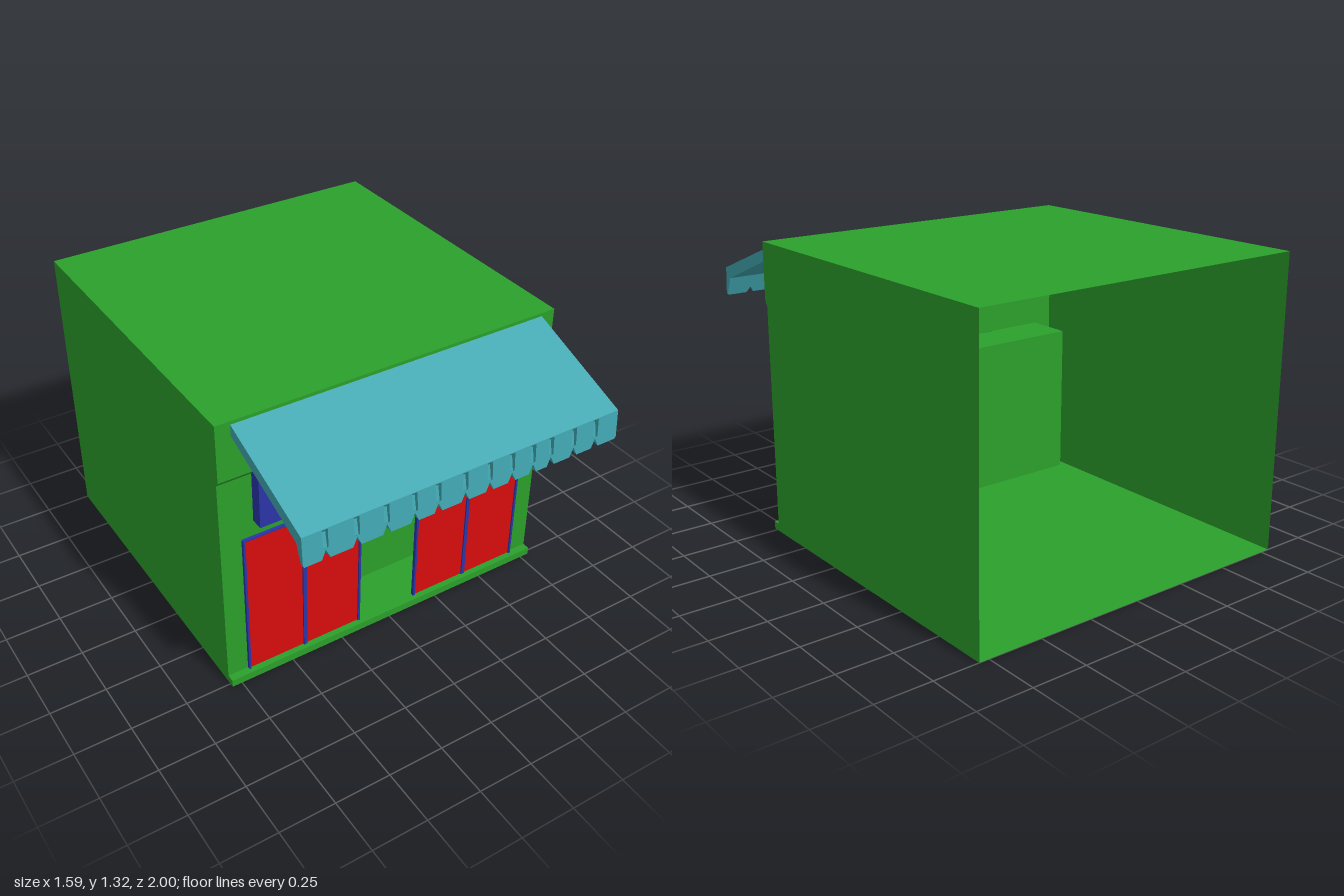
import * as THREE from 'three';

const material = (color) => new THREE.MeshStandardMaterial({ color, side: THREE.DoubleSide, flatShading: true });

export function createModel() {
  const root = new THREE.Group();
  const green = material(0x2ba02b);
  const red = material(0xd80d0d);
  const blue = material(0x2a35a8);
  const teal = material(0x41a8b2);

  const add = (name, geometry, mat, parent = root) => {
    const mesh = new THREE.Mesh(geometry, mat);
    mesh.name = name;
    parent.add(mesh);
    return mesh;
  };
  // Box given by its limits on each axis
  const box = (name, [x0, x1], [y0, y1], [z0, z1], mat, parent) => {
    const mesh = add(name, new THREE.BoxGeometry(x1 - x0, y1 - y0, z1 - z0), mat, parent);
    mesh.position.set((x0 + x1) / 2, (y0 + y1) / 2, (z0 + z1) / 2);
    return mesh;
  };
  const polygon = (points) => new THREE.Shape(points.map(([x, y]) => new THREE.Vector2(x, y)));
  const rectangle = (x0, x1, y0, y1) => polygon([[x0, y0], [x1, y0], [x1, y1], [x0, y1]]);
  // Sheet spanning the width between two points (z, y)
  const sheet = (name, halfWidth, [z0, y0], [z1, y1]) => {
    const geometry = new THREE.PlaneGeometry(2 * halfWidth, 1);
    const p = geometry.attributes.position;
    for (let i = 0; i < p.count; i++) {
      const t = p.getY(i) + 0.5;
      p.setXYZ(i, p.getX(i), y0 + (y1 - y0) * t, z0 + (z1 - z0) * t);
    }
    geometry.computeVertexNormals();
    return add(name, geometry, green);
  };

  // Shell, open at the back, with a slightly stepped front
  const W = 0.795, H = 1.32, BACK = -1, LOW = 0.485, TOP = 0.5;
  const sideShape = polygon([[BACK, 0], [LOW, 0], [LOW, 1.04], [TOP, 1.06], [TOP, H], [BACK, H]]);
  for (const s of [-1, 1]) {
    const wall = add(s > 0 ? 'leftWall' : 'rightWall',
      new THREE.ShapeGeometry(sideShape).rotateY(-Math.PI / 2), green);
    wall.position.x = s * W;
  }
  sheet('roof', W, [TOP, H], [BACK, H]);
  sheet('floor', W, [LOW, 0], [BACK, 0]);
  sheet('upperFront', W, [TOP, 1.06], [TOP, H]);
  sheet('frontStep', W, [LOW, 1.04], [TOP, 1.06]);

  // Front wall with the shopfront opening
  const R = 0.7, SILL = 0.035, HEAD = 0.737, RECESS = 0.27;
  const frontShape = rectangle(-W, W, 0, 1.04);
  frontShape.holes.push(rectangle(-R, R, SILL, HEAD));
  add('frontWall', new THREE.ShapeGeometry(frontShape), green).position.z = LOW;

  // Recess behind the windows and doorway
  sheet('recessFloor', R, [LOW, SILL], [RECESS, SILL]);
  sheet('recessBack', R, [RECESS, SILL], [RECESS, HEAD]);
  sheet('recessCeiling', R, [RECESS, HEAD], [LOW, HEAD]);
  for (const s of [-1, 1]) {
    const cheek = add('recessSide', new THREE.PlaneGeometry(LOW - RECESS, HEAD - SILL).rotateY(Math.PI / 2), green);
    cheek.position.set(s * R, (SILL + HEAD) / 2, (LOW + RECESS) / 2);
  }
  box('plinth', [-W, W], [0, SILL], [LOW, 0.52], green);

  // Two windows of two panes, either side of the doorway
  for (const s of [-1, 1]) {
    const windowGroup = new THREE.Group();
    windowGroup.name = s > 0 ? 'leftWindow' : 'rightWindow';
    root.add(windowGroup);
    for (const x of [0.284, 0.561]) {
      const c = s * x;
      box('pane', [c - 0.131, c + 0.131], [SILL, 0.73], [0.484, 0.492], red, windowGroup);
      box('topRail', [c - 0.138, c + 0.138], [0.729, HEAD], [0.482, 0.499], blue, windowGroup);
    }
    for (const [x, w] of [[0.149, 0.005], [0.4225, 0.0085], [0.696, 0.005]])
      box('post', [s * x - w, s * x + w], [SILL, HEAD], [0.482, 0.499], blue, windowGroup);
  }

  box('signBoard', [-0.645, 0.645], [0.81, 1.08], [LOW, 0.54], blue);

  // Awning: sloping canopy
  const awning = new THREE.Group();
  awning.name = 'awning';
  root.add(awning);
  const A = 0.73;
  const canopy = polygon([[0.5, 1.255], [0.955, 1.075], [0.99, 1.12], [0.5, 1.305]]);
  add('canopy', new THREE.ExtrudeGeometry(canopy, { depth: 2 * A, bevelEnabled: false })
    .rotateY(-Math.PI / 2).translate(A, 0, 0), teal, awning);

  // Hanging valance: notched hem, with grooves in the outer layer
  const slits = [-0.634, -0.502, -0.374, -0.251, -0.145, -0.021, 0.094, 0.2, 0.302, 0.391, 0.506, 0.617];
  const hem = [[-A, 0.06], [-A + 0.006, 0]];
  for (const x of slits) hem.push([x - 0.018, 0], [x, 0.3], [x + 0.018, 0]);
  hem.push([A - 0.006, 0], [A, 0.06], [A, 1], [-A, 1]);
  const mix = THREE.MathUtils.lerp;
  const valanceLayer = (name, t0, t1, grooved) => {
    const shape = polygon(hem);
    if (grooved) for (const x of slits) shape.holes.push(rectangle(x - 0.012, x + 0.012, 0.36, 0.97));
    const geometry = new THREE.ExtrudeGeometry(shape, { depth: 1, bevelEnabled: false });
    const p = geometry.attributes.position;
    for (let i = 0; i < p.count; i++) {
      const v = p.getY(i), t = mix(t0, t1, p.getZ(i));
      p.setY(i, mix(mix(0.99, 1.075, v), mix(0.99, 1.12, v), t));
      p.setZ(i, mix(mix(0.99, 0.955, v), mix(1.0, 0.99, v), t));
    }
    geometry.computeVertexNormals();
    add(name, geometry, teal, awning);
  };
  valanceLayer('valanceBacking', 0, 0.5, false);
  valanceLayer('valanceFront', 0.5, 1, true);

  return root;
}
